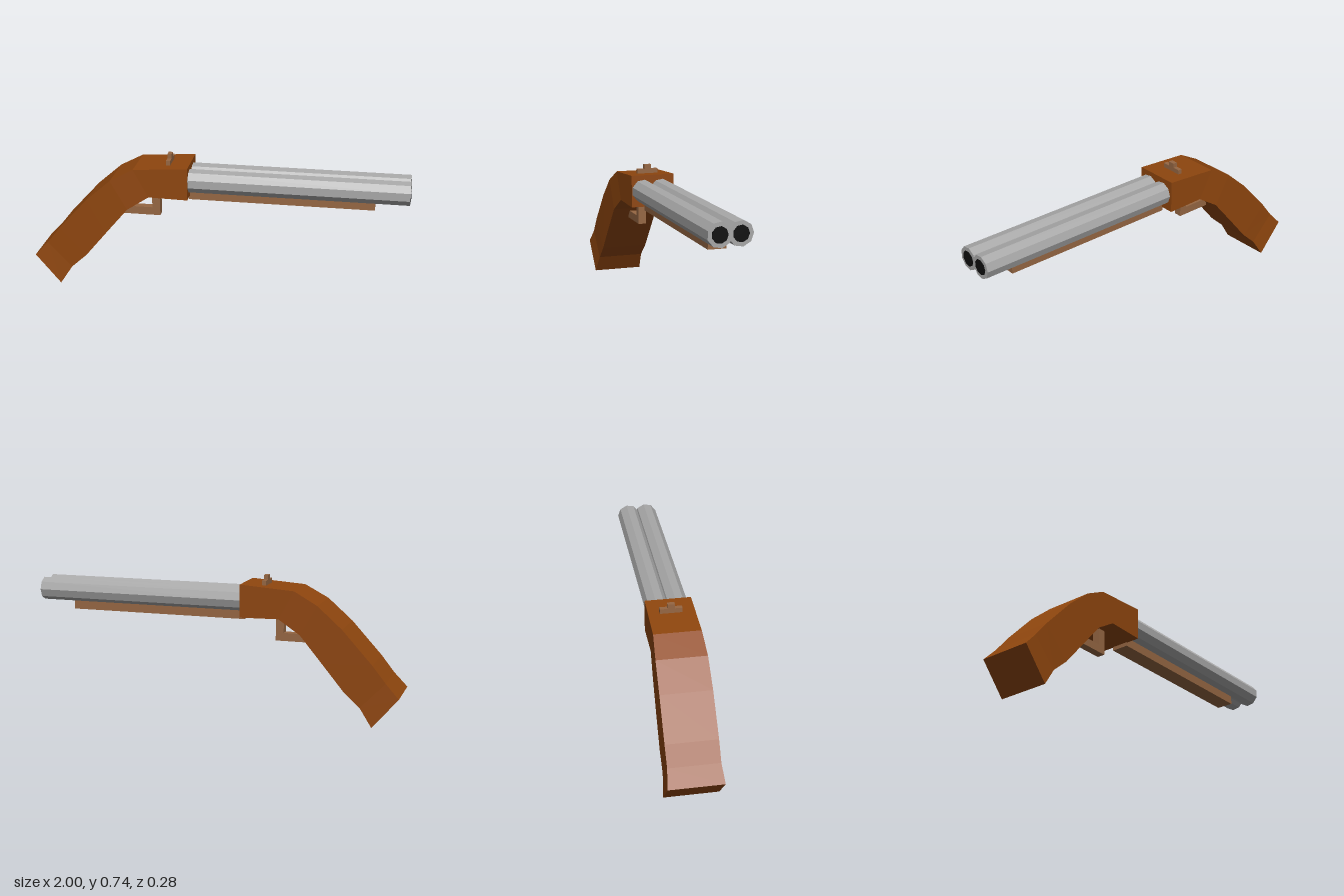
import * as THREE from 'three';

const flat = (color, name) => {
  const m = new THREE.MeshStandardMaterial({ color });
  m.name = name;
  m.flatShading = true;
  return m;
};

// Loft of four-cornered sections [topX, topY, bottomX, bottomY, halfWidth], ordered along +x
function loft(sections) {
  const rings = sections.map(([tx, ty, bx, by, w]) => [
    [tx, ty, w], [tx, ty, -w], [bx, by, -w], [bx, by, w],
  ]);
  const pos = [];
  const quad = (a, b, c, d) => pos.push(...a, ...b, ...c, ...a, ...c, ...d);
  for (let s = 0; s < rings.length - 1; s++) {
    const a = rings[s], b = rings[s + 1];
    for (let i = 0; i < 4; i++) {
      const j = (i + 1) % 4;
      quad(a[i], b[i], b[j], a[j]);
    }
  }
  const first = rings[0], last = rings[rings.length - 1];
  quad(first[0], first[1], first[2], first[3]);
  quad(last[0], last[3], last[2], last[1]);
  const g = new THREE.BufferGeometry();
  g.setAttribute('position', new THREE.Float32BufferAttribute(pos, 3));
  g.computeVertexNormals();
  return g;
}

export function createModel() {
  const model = new THREE.Group();
  const wood = flat(0x8f460e, 'stockWood');
  const lightWood = flat(0x966743, 'lightWood');
  const steel = flat(0xa8a8a8, 'barrelSteel');
  const black = flat(0x0d0d0d, 'boreBlack');

  const add = (name, geometry, material, parent = model) => {
    const mesh = new THREE.Mesh(geometry, material);
    mesh.name = name;
    parent.add(mesh);
    return mesh;
  };
  // Box given by its limits on each axis
  const box = (name, [x0, x1], [y0, y1], [z0, z1], material, parent) => {
    const mesh = add(name, new THREE.BoxGeometry(x1 - x0, y1 - y0, z1 - z0), material, parent);
    mesh.position.set((x0 + x1) / 2, (y0 + y1) / 2, (z0 + z1) / 2);
  };
  // Nine-sided rod along x
  const rod = (name, x0, x1, y, z, r, material, parent) => {
    const g = new THREE.CylinderGeometry(r, r, x1 - x0, 9, 1, false, Math.PI);
    g.rotateZ(-Math.PI / 2);
    add(name, g, material, parent).position.set((x0 + x1) / 2, y, z);
  };

  // Curved grip and receiver in one piece
  add('stock', loft([
    [-1, 0.16, -0.865, 0, 0.14],
    [-0.93, 0.235, -0.8, 0.098, 0.131],
    [-0.86, 0.323, -0.715, 0.175, 0.132],
    [-0.7, 0.498, -0.6, 0.313, 0.131],
    [-0.57, 0.612, -0.48, 0.455, 0.129],
    [-0.445, 0.68, -0.364, 0.53, 0.121],
    [-0.155, 0.7, -0.155, 0.526, 0.12],
  ]), wood);

  // Twin barrels with dark bores
  const barrels = new THREE.Group();
  barrels.name = 'barrels';
  model.add(barrels);
  [['left', 0.056], ['right', -0.047]].forEach(([side, z]) => {
    rod(side + 'Barrel', -0.17, 0.997, 0.614, z, 0.0625, steel, barrels);
    rod(side + 'Bore', 0.995, 1, 0.614, z, 0.041, black, barrels);
  });

  // Rail under the barrels
  box('foreEnd', [-0.16, 0.82], [0.505, 0.583], [-0.047, 0.047], lightWood);

  // L-shaped guard under the receiver
  const guard = new THREE.Group();
  guard.name = 'guard';
  model.add(guard);
  box('guardPost', [-0.365, -0.322], [0.437, 0.54], [-0.013, 0.03], lightWood, guard);
  box('guardBar', [-0.52, -0.322], [0.394, 0.437], [-0.013, 0.03], lightWood, guard);

  // Stepped rear sight
  const sight = new THREE.Group();
  sight.name = 'rearSight';
  model.add(sight);
  box('sightBase', [-0.28, -0.257], [0.68, 0.717], [-0.061, 0.055], lightWood, sight);
  box('sightPost', [-0.28, -0.257], [0.717, 0.741], [-0.022, 0.016], lightWood, sight);

  return model;
}
